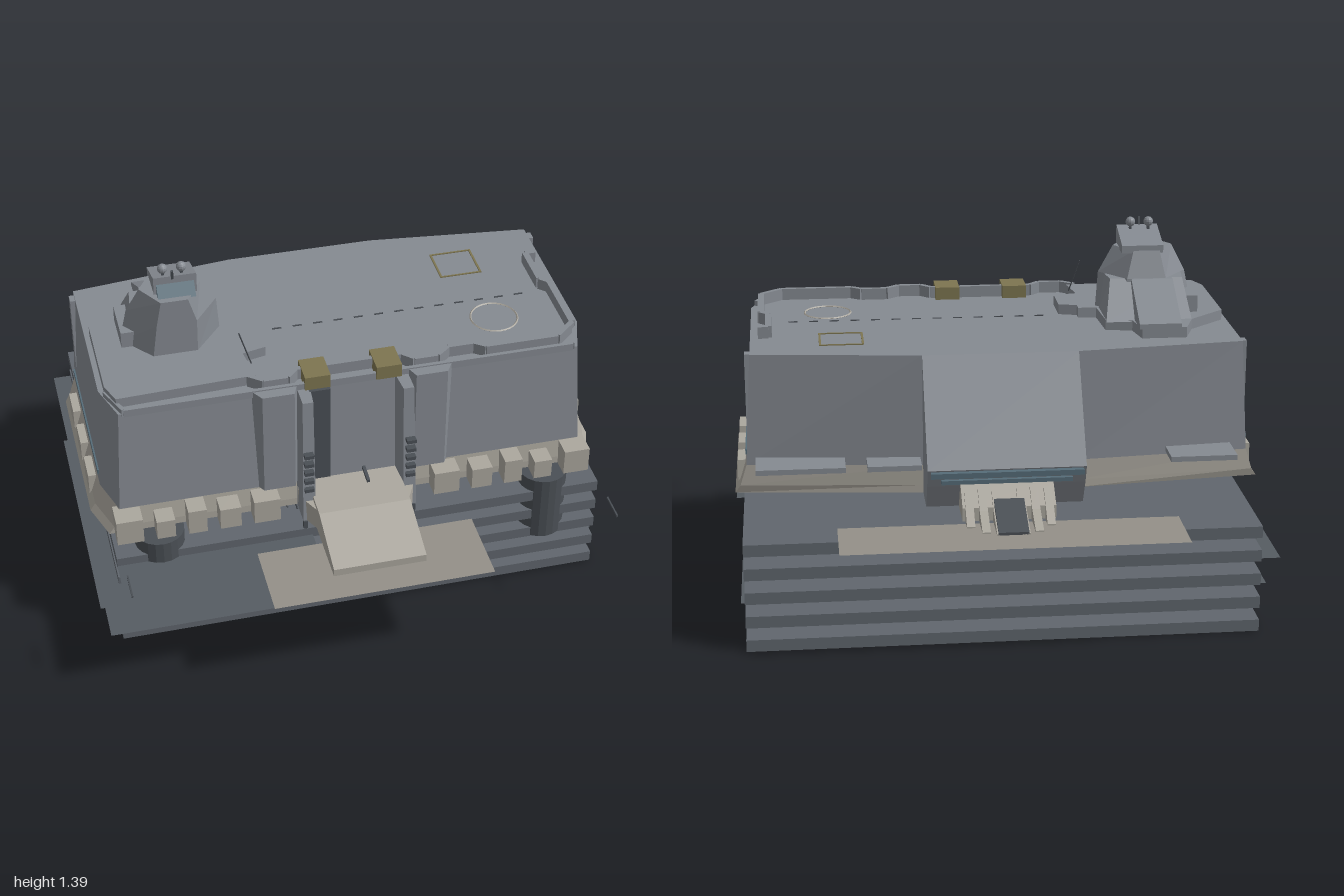
import * as THREE from 'three';

const mat = (color, side = THREE.FrontSide) => new THREE.MeshStandardMaterial({ color, side, flatShading: true });
const HULL = mat(0x858a91), PALE = mat(0xaba79e), SLAB = mat(0x60666d), DARK = mat(0x4a4f55);
const BLUE = mat(0x566c78), GOLD = mat(0x7d7550), PLATE = mat(0x949088, THREE.DoubleSide), SHEET = mat(0x565c62, THREE.DoubleSide);

export function createModel() {
  const root = new THREE.Group();
  const add = (name, geo, m, x = 0, y = 0, z = 0) => {
    const mesh = new THREE.Mesh(geo, m);
    mesh.name = name;
    mesh.position.set(x, y, z);
    root.add(mesh);
    return mesh;
  };
  // box from its limits
  const box = (name, m, x0, x1, y0, y1, z0, z1) =>
    add(name, new THREE.BoxGeometry(x1 - x0, y1 - y0, z1 - z0), m, (x0 + x1) / 2, (y0 + y1) / 2, (z0 + z1) / 2);
  // solid through plan outlines [x, z] stacked at the given heights
  const loft = (name, m, heights, outlines) => {
    const area = outlines[0].reduce((s, p, i, r) => {
      const q = r[(i + 1) % r.length];
      return s + p[0] * q[1] - q[0] * p[1];
    }, 0);
    const rings = outlines.map(r => (area > 0 ? [...r].reverse() : r));
    const n = rings[0].length, pos = [], idx = [];
    rings.forEach((r, k) => r.forEach(([x, z], i) => {
      const h = heights[k];
      pos.push(x, Array.isArray(h) ? h[i] : h, z);
    }));
    for (let k = 0; k < rings.length - 1; k++) {
      for (let i = 0; i < n; i++) {
        const a = k * n + i, b = k * n + (i + 1) % n;
        idx.push(a, b, b + n, a, b + n, a + n);
      }
    }
    const cap = (r, off, flip) => THREE.ShapeUtils.triangulateShape(r.map(([x, z]) => new THREE.Vector2(x, -z)), [])
      .forEach(([a, b, c]) => idx.push(...(flip ? [a, c, b] : [a, b, c]).map(v => v + off)));
    cap(rings[0], 0, true);
    cap(rings.at(-1), (rings.length - 1) * n, false);
    const g = new THREE.BufferGeometry();
    g.setAttribute('position', new THREE.Float32BufferAttribute(pos, 3));
    g.setIndex(idx);
    const flat = g.toNonIndexed();
    flat.computeVertexNormals();
    return add(name, flat, m);
  };
  const prism = (name, m, pts, y0, y1) => loft(name, m, [y0, y1], [pts, pts]);
  // side profile [z, y] carried across the width x0..x1
  const across = (name, m, pts, x0, x1) => {
    const shape = new THREE.Shape(pts.map(([z, y]) => new THREE.Vector2(-z, y)));
    const g = new THREE.ExtrudeGeometry(shape, { depth: x1 - x0, bevelEnabled: false });
    return add(name, g.rotateY(Math.PI / 2), m, x0);
  };
  // thin bar between two points
  const bar = (name, m, a, b, w, h = w) => {
    const p = new THREE.Vector3(...a), q = new THREE.Vector3(...b);
    const mesh = add(name, new THREE.BoxGeometry(w, h, p.distanceTo(q)), m);
    mesh.position.copy(p).add(q).multiplyScalar(0.5);
    mesh.lookAt(q);
    return mesh;
  };
  const wall = (name, pts, y, w, h) => pts.slice(1).forEach((p, i) =>
    bar(name, HULL, [pts[i][0], y, pts[i][1]], [p[0], y, p[1]], w, h));
  const sheet = (name, m, x0, x1, z0, z1, y) =>
    add(name, new THREE.PlaneGeometry(x1 - x0, z1 - z0).rotateX(-Math.PI / 2), m, (x0 + x1) / 2, y, (z0 + z1) / 2);

  // stacked lower floors with thin sheets sticking out between them
  for (let i = 0; i < 5; i++) box('floorSlab', SLAB, -0.93, 0.96, i * 0.0925, i * 0.0925 + 0.045, -0.78, 0.535);
  sheet('lowerSheet', SHEET, -1, 0.98, -0.58, 0.46, 0.105);
  sheet('middleSheet', SHEET, -1, -0.14, -0.78, 0.8, 0.29);
  sheet('middleTab', SHEET, 0.9, 1, 0.04, 0.25, 0.29);
  sheet('upperSheet', SHEET, -0.93, -0.18, 0, 0.8, 0.38);
  sheet('frontApron', PLATE, -0.42, 0.41, 0.655, 0.955, 0.44);
  sheet('rearApron', PLATE, -0.63, 0.62, -0.967, -0.71, 0.44);

  // round shafts, hanging chains and slanted struts at the front
  for (const s of [-1, 1]) {
    add('shaft', new THREE.CylinderGeometry(0.095, 0.095, 0.28, 20), DARK, s * 0.755, 0.33, 0.46);
    for (let y = 0.06; y < 0.46; y += 0.0925) box('chainLink', DARK, s * 0.21 - 0.008, s * 0.21 + 0.008, y, y + 0.035, 0.535, 0.55);
    for (let i = 0; i < 4; i++) {
      const x = s * 0.15 + i * 0.035 - 0.07;
      bar('strut', DARK, [x - 0.04, 0.47, 0.38 + i * 0.02], [x + 0.04, 0.13, 0.5], 0.005);
    }
    box('markerStick', DARK, s * 0.917 - 0.003, s * 0.917 + 0.003, 0.51, 0.518, 0.74, 0.85);
  }

  // flared pale base under the hull
  const plan = (x, front, side, rear, mid) => [
    [-x, side], [-x + 0.05, front], [x - 0.05, front], [x, side],
    [x, rear], [0.29, mid], [-0.29, mid], [-x, rear]];
  loft('baseSkirt', PALE, [0.47, 0.5, 0.58], [
    plan(0.99, 0.45, 0.3, -0.38, -0.45), plan(0.97, 0.45, 0.3, -0.39, -0.45), plan(0.945, 0.44, 0.29, -0.39, -0.45)]);
  for (const s of [-1, 1]) {
    for (const [a, b, h] of [[0.3, 0.4, 0.57], [0.45, 0.53, 0.56], [0.58, 0.65, 0.575], [0.7, 0.77, 0.55], [0.82, 0.92, 0.575]]) {
      const x0 = Math.min(s * a, s * b);
      box('baseBlock', PALE, x0, x0 + b - a, 0.47, h, 0.42, 0.52);
    }
    for (const z of [-0.3, -0.1, 0.1]) box('sideBlock', PALE, s * 0.965 - 0.015, s * 0.965 + 0.015, 0.48, 0.57, z, z + 0.12);
  }

  // main hull, narrowing slightly upward
  loft('hull', HULL, [0.58, 1.005], [plan(0.945, 0.445, 0.29, -0.39, -0.45), plan(0.92, 0.42, 0.27, -0.38, -0.45)]);
  for (const s of [-1, 1]) {
    box('windowStrip', BLUE, s * 0.942 - 0.006, s * 0.942 + 0.006, 0.615, 0.635, -0.37, 0.27);
    box('cornerRib', HULL, s * 0.925 - 0.015, s * 0.925 + 0.015, 0.58, 1.0, -0.36, -0.32);
    // broad pilaster and gate pylon with rungs
    prism('frontPilaster', HULL, [[s * 0.38, 0.42], [s * 0.35, 0.47], [s * 0.23, 0.47], [s * 0.21, 0.42]], 0.58, 1.02);
    loft('gatePylon', HULL, [0.47, 1.0], [
      [[s * 0.22, 0.4], [s * 0.22, 0.55], [s * 0.17, 0.55], [s * 0.16, 0.4]],
      [[s * 0.21, 0.4], [s * 0.21, 0.51], [s * 0.17, 0.51], [s * 0.16, 0.4]]]);
    for (let i = 0; i < 5; i++) box('rung', DARK, s * 0.195 - 0.018, s * 0.195 + 0.018, 0.61 + i * 0.04, 0.625 + i * 0.04, 0.53, 0.555);
  }
  box('gateRecess', DARK, -0.17, -0.09, 0.58, 1.0, 0.42, 0.448);

  // front ramp
  across('frontRamp', PALE, [[0.43, 0.47], [0.87, 0.47], [0.87, 0.5], [0.64, 0.575], [0.43, 0.58]], -0.18, 0.17);
  for (const s of [-1, 1]) prism('rampFlank', PALE, [[s * 0.17, 0.44], [s * 0.22, 0.46], [s * 0.21, 0.54], [s * 0.17, 0.62]], 0.47, 0.56);
  bar('rampLever', DARK, [0.04, 0.6, 0.41], [0.04, 0.59, 0.52], 0.012);

  // sloped rear buttress with glazed ledge and claws
  across('rearButtress', HULL, [[-0.44, 0.47], [-0.44, 1.005], [-0.45, 1.005], [-0.69, 0.64], [-0.66, 0.57], [-0.6, 0.47]], -0.29, 0.29);
  prism('rearLedge', BLUE, [[-0.28, -0.71], [0.28, -0.71], [0.27, -0.64], [0.14, -0.6], [-0.14, -0.6], [-0.27, -0.64]], 0.615, 0.635);
  box('lowerLedge', BLUE, -0.24, 0.24, 0.585, 0.6, -0.69, -0.6);
  across('clawRoot', PALE, [[-0.55, 0.47], [-0.55, 0.6], [-0.66, 0.59], [-0.76, 0.52], [-0.76, 0.47]], -0.17, 0.17);
  for (const [x, z] of [[-0.145, -0.83], [-0.095, -0.89], [-0.045, -0.91], [0.045, -0.91], [0.095, -0.89], [0.145, -0.83]]) {
    across('claw', PALE, [[-0.7, 0.47], [-0.7, 0.575], [-0.78, 0.515], [z, 0.475], [z, 0.47]], x - 0.015, x + 0.015);
  }
  across('clawTongue', DARK, [[-0.74, 0.47], [-0.74, 0.545], [-0.91, 0.48], [-0.91, 0.47]], -0.055, 0.055);
  for (const [a, b] of [[-0.88, -0.63], [0.3, 0.5], [0.58, 0.91]]) box('rearShelf', HULL, a, b, 0.59, 0.61, -0.54, -0.37);

  // roof platform around the tower
  prism('towerPlatform', HULL, [[-0.9, -0.08], [-0.76, -0.2], [-0.72, -0.31], [-0.55, -0.31], [-0.53, -0.2], [-0.43, -0.18],
    [-0.42, 0], [-0.35, 0], [-0.35, 0.04], [-0.28, 0.06], [-0.28, 0.2], [-0.37, 0.22], [-0.35, 0.36], [-0.87, 0.38], [-0.9, 0.3]], 1, 1.045);

  // parapets
  const edge = [[0.2, 0.36], [0.24, 0.4], [0.33, 0.4], [0.38, 0.36], [0.48, 0.36], [0.52, 0.39], [0.8, 0.39], [0.88, 0.32]];
  wall('frontParapet', edge, 1.025, 0.02, 0.05);
  wall('frontParapet', edge.slice(0, 4).map(([x, z]) => [-x, z]), 1.025, 0.02, 0.05);
  wall('gateParapet', [[-0.2, 0.36], [0.2, 0.36]], 1.025, 0.02, 0.05);
  wall('sideParapet', [[0.88, 0.32], [0.88, 0.05], [0.85, 0.02], [0.85, -0.16], [0.89, -0.16]], 1.025, 0.025, 0.05);
  wall('outerParapet', [[-0.9, 0.3], [-0.85, 0.42], [0.85, 0.42], [0.9, 0.3]], 1.01, 0.015, 0.03);

  // roof markings
  for (const s of [-1, 1]) box('goldHatch', GOLD, s * 0.135 - 0.048, s * 0.135 + 0.048, 1.0, 1.055, 0.32, 0.435);
  for (const k of [0, 1]) {
    box('squareMarkEnd', GOLD, 0.495 + k * 0.16, 0.503 + k * 0.16, 1.003, 1.009, -0.29, -0.13);
    box('squareMarkSide', GOLD, 0.495, 0.663, 1.003, 1.009, -0.29 + k * 0.155, -0.284 + k * 0.155);
  }
  add('ringMark', new THREE.TorusGeometry(0.09, 0.004, 4, 32).rotateX(Math.PI / 2), PALE, 0.62, 1.006, 0.17);
  for (let x = -0.22; x < 0.76; x += 0.08) box('dash', DARK, x, x + 0.035, 1.003, 1.008, 0.042, 0.048);

  // tower: faceted body, neck and slanted head
  const hex = (x0, x1, z0, z1) => {
    const d = (x1 - x0) * 0.28, zm = (z0 + z1) / 2;
    return [[x0, zm], [x0 + d, z1], [x1 - d, z1], [x1, zm], [x1 - d, z0], [x0 + d, z0]];
  };
  loft('towerBody', HULL, [1.04, 1.18, 1.28], [hex(-0.8, -0.42, -0.1, 0.16), hex(-0.77, -0.43, -0.09, 0.16), hex(-0.72, -0.49, -0.05, 0.16)]);
  box('towerWing', HULL, -0.8, -0.7, 1.04, 1.11, -0.1, 0.08);
  loft('towerRear', HULL, [1.04, 1.18], [
    [[-0.77, 0], [-0.43, 0], [-0.43, -0.2], [-0.76, -0.2]], [[-0.75, 0], [-0.45, 0], [-0.46, -0.08], [-0.74, -0.08]]]);
  across('towerFin', HULL, [[0, 1.04], [0, 1.18], [-0.1, 1.18], [-0.31, 1.06], [-0.31, 1.04]], -0.7, -0.54);
  across('towerHead', HULL, [[0.1, 1.27], [0.1, 1.35], [-0.05, 1.3], [-0.05, 1.27]], -0.67, -0.51);
  across('towerVisor', BLUE, [[0.14, 1.275], [0.1, 1.32], [0.09, 1.275]], -0.66, -0.52);
  for (const x of [-0.63, -0.56]) {
    add('sensorBall', new THREE.SphereGeometry(0.019, 12, 8), HULL, x, 1.368, 0.07);
    bar('sensorStem', DARK, [x, 1.3, 0.07], [x, 1.36, 0.07], 0.01);
  }
  bar('towerPeak', DARK, [-0.6, 1.34, 0.1], [-0.6, 1.38, 0.11], 0.008);
  bar('antenna', DARK, [-0.35, 1.04, 0.28], [-0.39, 1.17, 0.26], 0.004);
  return root;
}
